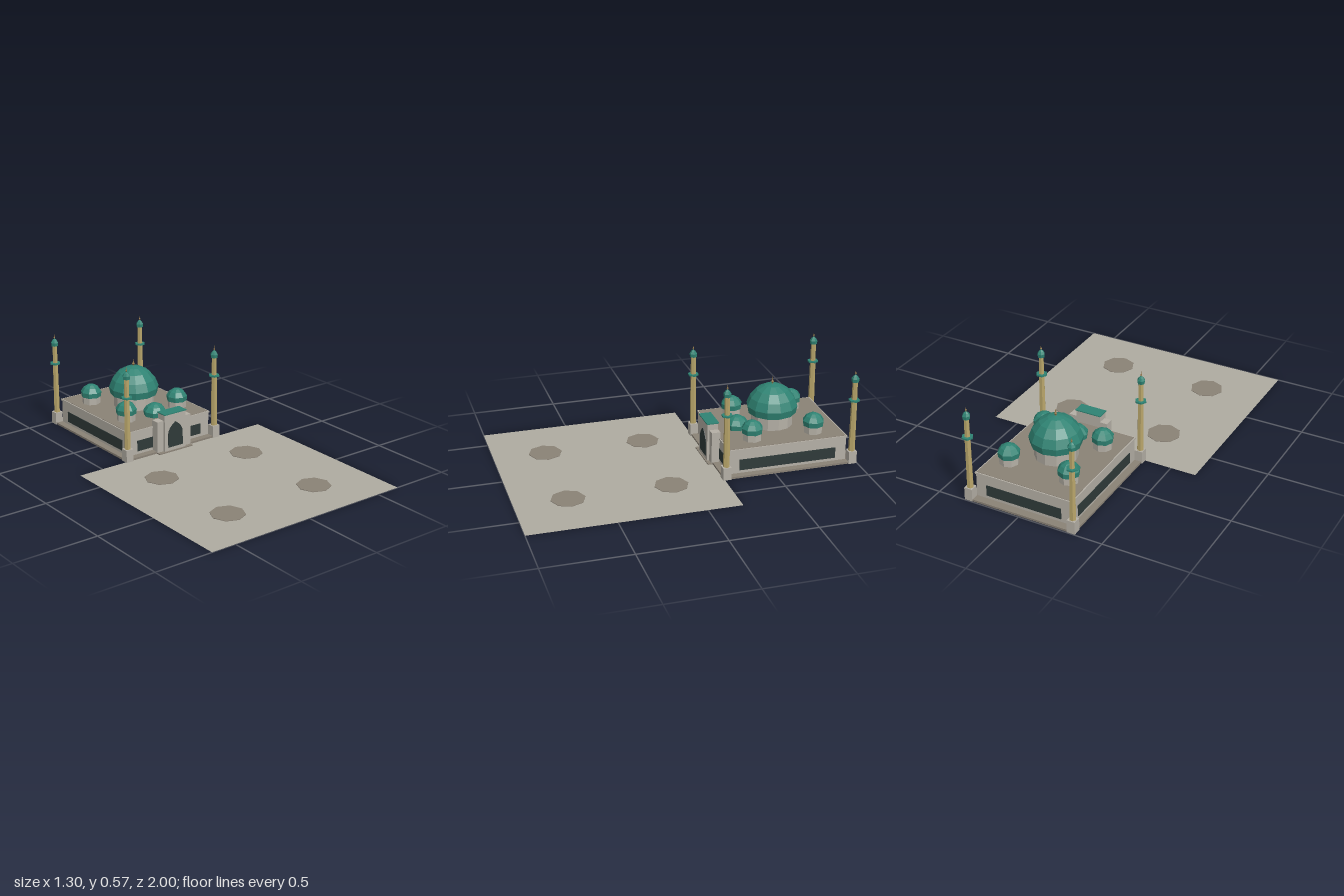
import * as THREE from 'three';

const mat = (name, color) => {
  const m = new THREE.MeshStandardMaterial({ color });
  m.name = name;
  return m;
};

export function createModel() {
  const stone = mat('pale stone', 0xb5b0a6);
  const paving = mat('paving', 0xaeaba0);
  const brown = mat('brown stone', 0x8a8276);
  const green = mat('dome green', 0x2f8373);
  const gold = mat('shaft gold', 0xb8a56a);
  const bronze = mat('finial bronze', 0x8f7446);
  const glass = mat('dark glass', 0x2f3a39);
  paving.side = THREE.DoubleSide;
  green.flatShading = gold.flatShading = bronze.flatShading = stone.flatShading = true;

  const model = new THREE.Group();
  const add = (name, geo, material, x = 0, y = 0, z = 0, parent = model) => {
    const mesh = new THREE.Mesh(geo, material);
    mesh.name = name;
    mesh.position.set(x, y, z);
    parent.add(mesh);
    return mesh;
  };
  // box given by its full extents
  const box = (name, material, x0, x1, y0, y1, z0, z1, parent = model) =>
    add(name, new THREE.BoxGeometry(x1 - x0, y1 - y0, z1 - z0), material,
      (x0 + x1) / 2, (y0 + y1) / 2, (z0 + z1) / 2, parent);
  // turned part, profile runs from bottom to top
  const turned = (name, material, profile, sides, parent, y = 0) => {
    const pts = profile.map(([r, h]) => new THREE.Vector2(r, h));
    return add(name, new THREE.LatheGeometry(pts, sides, Math.PI / 2), material, 0, y, 0, parent);
  };
  const finial = (parent, y, s) => turned('finial', bronze,
    [[0.004, 0], [0.004, 0.01], [0.009, 0.018], [0.004, 0.026], [0, 0.05]].map(p => p.map(v => v * s)),
    6, parent, y);

  // forecourt with four octagonal patches
  add('forecourt', new THREE.PlaneGeometry(1.3, 1.2).rotateX(-Math.PI / 2), paving, 0, 0.0005, 0.4);
  for (const x of [-0.305, 0.305]) for (const z of [0.105, 0.695])
    add('courtPatch', new THREE.CylinderGeometry(0.098, 0.098, 0.003, 8), brown, x, 0.002, z);

  // hall
  box('plinth', brown, -0.333, 0.333, 0, 0.012, -0.993, -0.197);
  box('hallWalls', stone, -0.292, 0.292, 0.012, 0.15, -0.945, -0.238);
  box('cornice', stone, -0.297, 0.297, 0.15, 0.16, -0.95, -0.234);
  box('roof', brown, -0.29, 0.29, 0.16, 0.162, -0.943, -0.241);

  // window bands on all four walls
  for (const s of [-1, 1]) {
    box('sideWindow', glass, s * 0.293 - 0.003, s * 0.293 + 0.003, 0.03, 0.095, -0.88, -0.3);
    const z = s > 0 ? -0.238 : -0.945;
    box('endWindow', glass, -0.23, 0.23, 0.03, 0.095, z - 0.003, z + 0.003);
  }

  // entrance portal
  const portal = new THREE.Group();
  portal.name = 'portal';
  model.add(portal);
  box('step', brown, -0.12, 0.12, 0, 0.007, -0.24, -0.168, portal);
  box('portalWings', stone, -0.12, 0.12, 0.007, 0.197, -0.242, -0.19, portal);
  box('portalCentre', stone, -0.076, 0.076, 0.007, 0.233, -0.242, -0.177, portal);
  box('portalCap', green, -0.079, 0.079, 0.233, 0.239, -0.247, -0.174, portal);
  const arch = new THREE.Shape();
  arch.moveTo(-0.052, 0.028);
  arch.lineTo(0.052, 0.028);
  arch.lineTo(0.052, 0.115);
  arch.quadraticCurveTo(0.045, 0.155, 0, 0.182);
  arch.quadraticCurveTo(-0.045, 0.155, -0.052, 0.115);
  add('archedDoor', new THREE.ExtrudeGeometry(arch, { depth: 0.003, bevelEnabled: false, curveSegments: 5 }),
    glass, 0, 0, -0.177, portal);

  // great dome
  const great = new THREE.Group();
  great.name = 'greatDome';
  great.position.set(0, 0, -0.595);
  model.add(great);
  turned('drum', stone, [[0.122, 0.16], [0.122, 0.245]], 12, great);
  turned('dome', green, [[0, 0.24], [0.142, 0.24], [0.15, 0.282], [0.13, 0.332], [0.093, 0.376],
    [0.045, 0.402], [0, 0.412]], 12, great);
  finial(great, 0.405, 1);

  // small domes: four on drums, one low behind the portal
  const smallDomes = [[-0.185, -0.41, 1], [0.185, -0.41, 1], [-0.185, -0.782, 1], [0.185, -0.782, 1], [0, -0.38, 0]];
  for (const [x, z, raised] of smallDomes) {
    const g = new THREE.Group();
    g.name = 'smallDome';
    g.position.set(x, raised ? 0.205 : 0.161, z);
    model.add(g);
    if (raised) turned('smallDrum', stone, [[0.055, -0.045], [0.055, 0.003]], 8, g);
    const k = raised ? 1 : 1.1;
    turned('smallDomeShell', green, [[0, 0], [0.06, 0], [0.063, 0.03], [0.045, 0.057], [0.022, 0.071],
      [0, 0.077]].map(([r, h]) => [r * k, h]), 8, g);
  }

  // corner minarets
  for (const x of [-0.315, 0.315]) for (const z of [-0.213, -0.972]) {
    const m = new THREE.Group();
    m.name = 'minaret';
    m.position.set(x, 0, z);
    model.add(m);
    box('minaretBase', stone, -0.024, 0.024, 0, 0.075, -0.024, 0.024, m);
    turned('shaft', gold, [[0.019, 0.075], [0.017, 0.386]], 6, m);
    turned('balcony', green, [[0, 0.384], [0.033, 0.384], [0.033, 0.393], [0, 0.393]], 6, m);
    turned('upperShaft', gold, [[0.016, 0.393], [0.015, 0.502]], 6, m);
    turned('minaretCap', green, [[0, 0.5], [0.021, 0.5], [0.023, 0.52], [0.014, 0.535], [0, 0.547]], 6, m);
    finial(m, 0.54, 0.65);
  }
  return model;
}
